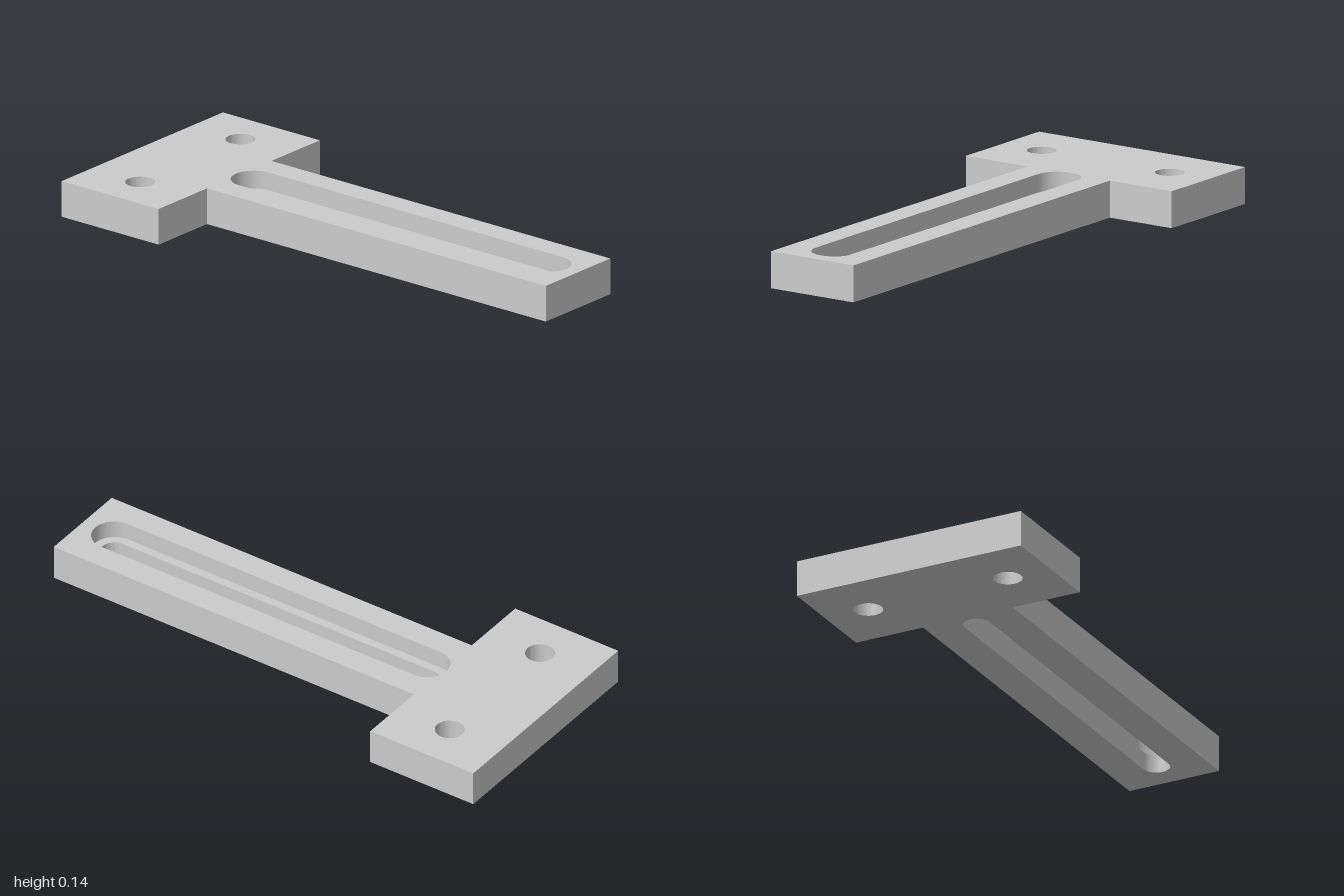
import * as THREE from 'three';
import { toCreasedNormals } from 'three/addons/utils/BufferGeometryUtils.js';

const HEIGHT = 0.135, LEDGE = 0.0675, SEGMENTS = 24;

// Plan outlines are drawn in x and -z; openings run clockwise.
function slot(r) {
  const path = new THREE.Shape();
  path.absarc(0, 0.487, r, Math.PI, 0, true);
  path.absarc(0, -0.863, r, 0, Math.PI, true);
  path.closePath();
  return path;
}

function boltHole(x) {
  return new THREE.Path().absarc(x, 0.78, 0.053, 0, Math.PI * 2, true);
}

function tPlate() {
  return new THREE.Shape([
    [-0.18, -1], [0.18, -1], [0.18, 0.555], [0.45, 0.555],
    [0.45, 1], [-0.45, 1], [-0.45, 0.555], [-0.18, 0.555],
  ].map(([x, y]) => new THREE.Vector2(x, y)));
}

// Flat face at height y, facing up or down
function face(outline, holes, y, down = false) {
  outline.holes = holes;
  const geo = new THREE.ShapeGeometry(outline, SEGMENTS);
  geo.rotateX(-Math.PI / 2).translate(0, y, 0);
  if (down) {
    geo.index.array.reverse();
    geo.computeVertexNormals();
  }
  return geo;
}

// Upright wall along a closed outline, from y0 to y1
function wall(outline, y0, y1) {
  const pts = outline.getPoints(SEGMENTS);
  const pos = [];
  pts.forEach((a, i) => {
    const b = pts[(i + 1) % pts.length];
    if (a.distanceTo(b) < 1e-6) return;
    pos.push(a.x, y0, -a.y, b.x, y0, -b.y, b.x, y1, -b.y);
    pos.push(a.x, y0, -a.y, b.x, y1, -b.y, a.x, y1, -a.y);
  });
  const geo = new THREE.BufferGeometry();
  geo.setAttribute('position', new THREE.Float32BufferAttribute(pos, 3));
  return toCreasedNormals(geo, Math.PI / 6);
}

export function createModel() {
  const group = new THREE.Group();
  group.name = 'slottedTBracket';
  const material = new THREE.MeshStandardMaterial({ color: 0xcccccc });
  const add = (name, geo) => {
    const mesh = new THREE.Mesh(geo, material);
    mesh.name = name;
    group.add(mesh);
  };

  const wide = slot(0.083), narrow = slot(0.05);
  const holes = [-0.28, 0.28].map(boltHole);

  // T-shaped plate
  add('topFace', face(tPlate(), [wide, ...holes], HEIGHT));
  add('bottomFace', face(tPlate(), [narrow, ...holes], 0, true));
  add('outerWall', wall(tPlate(), 0, HEIGHT));

  // Stepped slot along the stem
  add('slotRecessWall', wall(wide, LEDGE, HEIGHT));
  add('slotLedge', face(slot(0.083), [narrow], LEDGE));
  add('slotThroughWall', wall(narrow, 0, LEDGE));

  // Bolt holes in the head
  holes.forEach((hole, i) => add(i ? 'leftBoltHole' : 'rightBoltHole', wall(hole, 0, HEIGHT)));

  return group;
}
